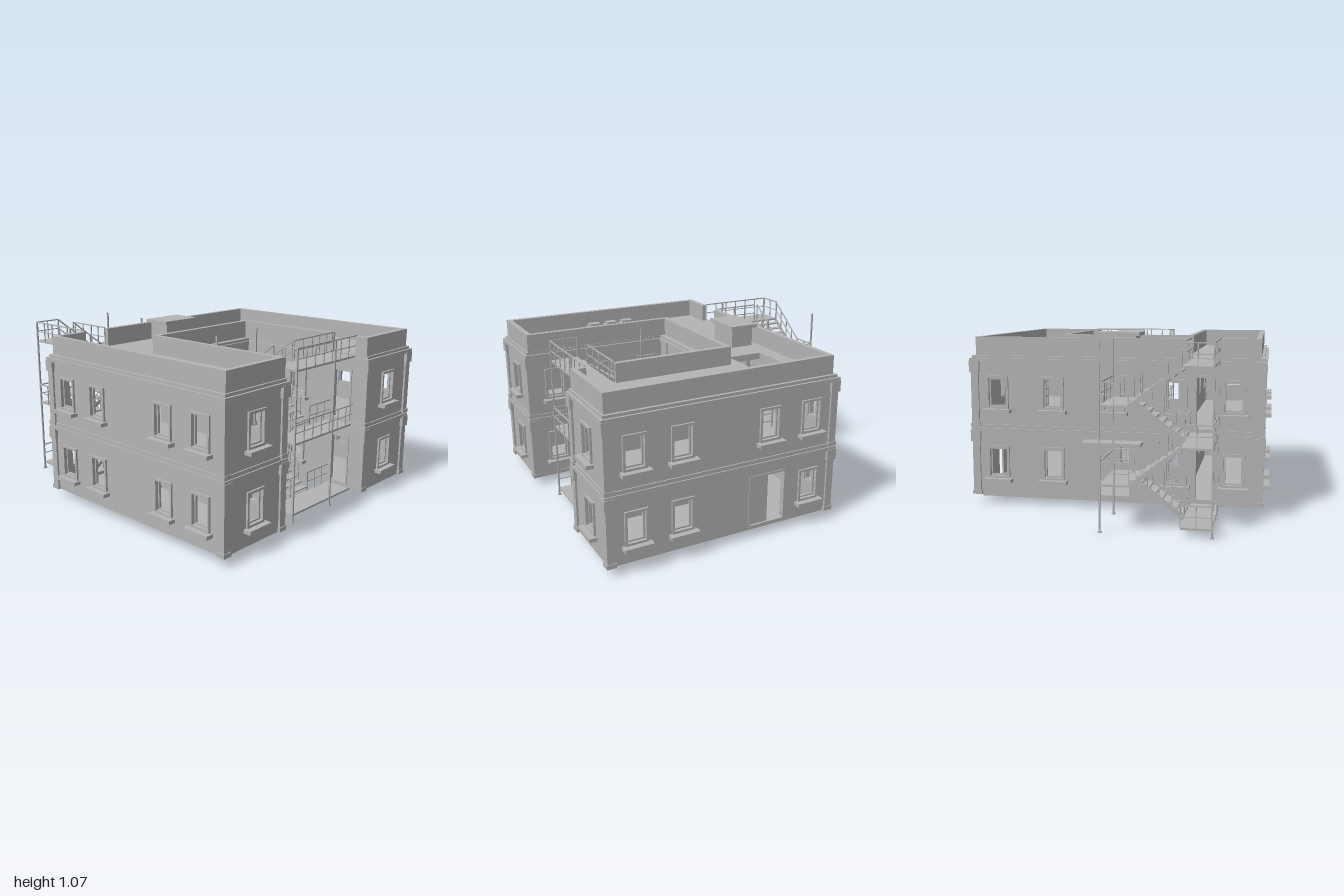
import * as THREE from 'three';

const grey = new THREE.MeshStandardMaterial({ color: 0xb4b4b4 });
grey.name = 'plainGrey';

const V = (x, y, z) => new THREE.Vector3(x, y, z);

function mesh(parent, name, geometry) {
  const m = new THREE.Mesh(geometry, grey);
  m.name = name;
  parent.add(m);
  return m;
}

// box given by its minimum and maximum on each axis
function box(parent, name, x0, x1, y0, y1, z0, z1) {
  const m = mesh(parent, name, new THREE.BoxGeometry(x1 - x0, y1 - y0, z1 - z0));
  m.position.set((x0 + x1) / 2, (y0 + y1) / 2, (z0 + z1) / 2);
  return m;
}

// straight bar between two points
function bar(parent, name, a, b, w = 0.007, h = w) {
  const d = b.clone().sub(a);
  const m = mesh(parent, name, new THREE.BoxGeometry(w, h, d.length()));
  m.position.copy(a).add(b).multiplyScalar(0.5);
  m.quaternion.setFromUnitVectors(V(0, 0, 1), d.normalize());
  return m;
}

function rectPath(cls, x, y, w, h) {
  const p = new cls();
  p.moveTo(x - w / 2, y - h / 2);
  p.lineTo(x + w / 2, y - h / 2);
  p.lineTo(x + w / 2, y + h / 2);
  p.lineTo(x - w / 2, y + h / 2);
  p.closePath();
  return p;
}

const extrude = (shape, depth) => new THREE.ExtrudeGeometry(shape, { depth, bevelEnabled: false });

// rectangular frame, z0 to z1 in depth
function frame(parent, name, x, y, w, h, t, z0, z1) {
  const s = rectPath(THREE.Shape, x, y, w, h);
  s.holes.push(rectPath(THREE.Path, x, y, w - 2 * t, h - 2 * t));
  mesh(parent, name, extrude(s, z1 - z0)).position.z = z0;
}

// U-shaped slab over the whole plan, grown outwards by o
function uSlab(parent, name, o, y0, y1, hatch) {
  const X = 0.88 + o, F = 0.945 + o, B = -0.505 - o, C = 0.4 - o;
  const pts = [[-X, B], [X, B], [X, F], [C, F], [C, o], [-C, o], [-C, F], [-X, F]];
  const s = new THREE.Shape(pts.map(([x, z]) => new THREE.Vector2(x, -z)));
  if (hatch) s.holes.push(rectPath(THREE.Path, 0.407, 0.248, 0.23, 0.225));
  const m = mesh(parent, name, extrude(s, y1 - y0));
  m.rotation.x = -Math.PI / 2;
  m.position.y = y0;
}

const storeys = [{ y0: 0.055, y1: 0.48, win: 0.263 }, { y0: 0.48, y1: 0.91, win: 0.697 }];

// wall facing local +z; openings are [position along the wall, kind, width]
function wall(parent, name, cx, cz, angle, len, storey, openings) {
  const g = new THREE.Group();
  g.name = name;
  g.position.set(cx, 0, cz);
  g.rotation.y = angle;
  parent.add(g);
  const { y0, y1, win } = storey, T = 0.03;
  const s = rectPath(THREE.Shape, 0, (y0 + y1) / 2, len, y1 - y0);
  const alongX = Math.abs(Math.cos(angle)) > 0.5;
  for (const [p, kind, w] of openings) {
    const u = alongX ? (p - cx) * Math.cos(angle) : -(p - cz) * Math.sin(angle);
    if (kind === 'door') {
      const b = y0 + 0.02, h = 0.315;
      s.holes.push(rectPath(THREE.Path, u, b + h / 2, w, h));
      frame(g, 'doorFrame', u, b + h / 2, w + 0.012, h + 0.012, 0.012, -T, 0.005);
    } else {
      s.holes.push(rectPath(THREE.Path, u, win, 0.11, 0.175));
      frame(g, 'windowSurround', u, win, 0.138, 0.203, 0.014, -0.005, 0.012);
      frame(g, 'windowSash', u, win, 0.112, 0.177, 0.01, -0.022, -0.008);
      box(g, 'windowSill', u - 0.087, u + 0.087, win - 0.123, win - 0.101, -0.01, 0.047);
    }
  }
  mesh(g, 'wallPanel', extrude(s, T)).position.z = -T;
}

// handrail with mid rail and balusters
function railing(parent, a, b, foot = 0) {
  const H = 0.122, up = (p, h) => V(p.x, p.y + h, p.z);
  bar(parent, 'handrail', up(a, H), up(b, H));
  bar(parent, 'midRail', up(a, H / 2), up(b, H / 2), 0.005);
  const n = Math.max(1, Math.round(a.distanceTo(b) / 0.09));
  for (let i = 0; i <= n; i++) {
    const p = a.clone().lerp(b, i / n);
    bar(parent, 'baluster', up(p, foot), up(p, H), 0.006);
  }
}

// stair tower: climbs towards local -z on the +x lane and back on the -x lane
function stairTower(name, bridge) {
  const g = new THREE.Group();
  g.name = name;
  const W = 0.185, L = -0.17, M = -0.45, E = -0.61, end = W + bridge;
  const levels = [0.052, 0.485, 0.917], mids = [0.27, 0.702];

  const flight = (x0, x1, zA, yA, zB, yB) => {
    const n = 7;
    for (let i = 1; i <= n; i++) {
      const z = zA + (zB - zA) * (i - 0.5) / n, y = yA + (yB - yA) * i / (n + 1);
      box(g, 'tread', x0, x1, y - 0.007, y, z - 0.022, z + 0.022);
    }
    for (const x of [x0, x1]) {
      const lo = V(x, yA, zA), hi = V(x, yB, zB);
      const [p, q] = zA < zB ? [lo, hi] : [hi, lo];
      bar(g, 'stringer', p.clone().setY(p.y - 0.008), q.clone().setY(q.y - 0.008), 0.006, 0.024);
      railing(g, p, q);
    }
  };

  levels.forEach((y, i) => {
    box(g, 'mainLanding', -W, W, y - 0.012, y, L, 0);
    box(g, 'bridge', W, end, y - 0.012, y, L, 0);
    railing(g, V(-W, y, 0), V(-W, y, L));
    railing(g, V(W, y, L), V(end, y, L));
    if (i > 0) railing(g, V(-W, y, 0), V(end, y, 0));
    if (i === 2) railing(g, V(0.01, y, L), V(W, y, L));
  });
  mids.forEach((y, i) => {
    box(g, 'midLanding', -W, W, y - 0.012, y, E, M);
    railing(g, V(-W, y, E), V(W, y, E));
    for (const x of [-W, W]) railing(g, V(x, y, M), V(x, y, E));
    flight(0.012, W - 0.003, L, levels[i], M, y);
    flight(-W + 0.003, -0.012, M, y, L, levels[i + 1]);
  });
  for (const x of [-W, W]) for (const z of [0, E]) {
    bar(g, 'post', V(x, 0, z), V(x, 1.04, z), 0.01);
    box(g, 'postFoot', x - 0.01, x + 0.01, 0, 0.007, z - 0.01, z + 0.01);
  }
  return g;
}

export function createModel() {
  const root = new THREE.Group();
  root.name = 'courtyardBuilding';
  const building = new THREE.Group();
  building.name = 'building';
  root.add(building);
  const Q = Math.PI / 2;
  const win = (...ps) => ps.map(p => [p, 'window']);

  // walls of both storeys
  storeys.forEach((s, i) => {
    const ground = i === 0;
    for (const k of [-1, 1]) wall(building, 'wingFrontWall', k * 0.64, 0.945, 0, 0.48, s, win(k * 0.64));
    wall(building, 'courtBackWall', 0, 0, 0, 0.8, s, win(-0.285, 0, 0.285));
    wall(building, 'backWall', 0, -0.505, Math.PI, 1.76, s,
      [...win(-0.715, -0.375, 0.375, 0.725), [-0.545, 'door', 0.11], ground ? [0, 'door', 0.2] : [0, 'window']]);
    wall(building, 'rightWall', 0.88, 0.22, Q, 1.45, s,
      [...win(0.78, 0.5, -0.338), ground ? [-0.052, 'door', 0.24] : [-0.055, 'window']]);
    wall(building, 'leftWall', -0.88, 0.22, -Q, 1.45, s, win(0.78, 0.5, -0.055, -0.338));
    wall(building, 'courtLeftWall', -0.4, 0.4725, Q, 0.945, s, win(0.115, 0.43, 0.77));
    wall(building, 'courtRightWall', 0.4, 0.4725, -Q, 0.945, s, [...win(0.115, 0.43), [0.77, 'door', 0.13]]);

    // corner pilasters with stepped capitals and a base
    const corners = [[0.88, 0.945, 1, 1], [0.88, -0.505, 1, -1], [0.4, 0.945, -1, 1]];
    for (const k of [-1, 1]) for (const [x, z, sx, sz] of corners) {
      const block = (name, o, inner, y0, y1) => {
        const xs = [k * (x + sx * o), k * (x - sx * inner)].sort((a, b) => a - b);
        const zs = [z + sz * o, z - sz * inner].sort((a, b) => a - b);
        box(building, name, xs[0], xs[1], y0, y1, zs[0], zs[1]);
      };
      block('pilaster', 0.012, 0.035, s.y0, s.y1 - 0.02);
      block('pilasterCapital', 0.02, 0.042, s.y1 - 0.09, s.y1 - 0.02);
      block('pilasterBase', 0.017, 0.04, s.y0, s.y0 + 0.025);
    }
  });

  // floors, string course, cornice and roof
  uSlab(building, 'groundSlab', -0.03, 0.035, 0.06);
  uSlab(building, 'stringCourse', 0.016, 0.452, 0.475);
  uSlab(building, 'upperFloor', 0.008, 0.475, 0.497);
  uSlab(building, 'cornice', 0.018, 0.882, 0.905, true);
  uSlab(building, 'roof', 0.004, 0.905, 0.922, true);

  // parapet with gaps where the stairs arrive
  const par = (x0, x1, z0, z1) => box(building, 'parapet', x0, x1, 0.92, 1.035, z0, z1);
  for (const k of [-1, 1]) {
    par(k * 0.849 - 0.016, k * 0.849 + 0.016, -0.49, 0.937);
    par(k * 0.632 - 0.233, k * 0.632 + 0.233, 0.905, 0.937);
  }
  par(-0.865, -0.635, -0.49, -0.458);
  par(-0.46, 0.865, -0.49, -0.458);
  par(-0.431, 0.431, -0.063, -0.031);
  par(-0.431, -0.399, -0.063, 0.937);
  par(0.399, 0.431, -0.063, 0.683);
  par(0.399, 0.431, 0.855, 0.937);

  // roof box, skylights and hatch ladder
  box(building, 'roofBox', -0.12, 0.11, 0.92, 1.045, -0.415, -0.265);
  box(building, 'roofBoxLid', -0.145, 0.135, 1.045, 1.066, -0.435, -0.245);
  for (const z of [0.095, 0.215, 0.34]) {
    box(building, 'skylightCurb', -0.805, -0.737, 0.92, 0.95, z - 0.046, z + 0.046);
    box(building, 'skylightTop', -0.798, -0.744, 0.95, 0.965, z - 0.038, z + 0.038);
  }
  for (const z of [-0.325, -0.175]) bar(building, 'ladderRail', V(0.505, 0.497, z), V(0.505, 0.92, z), 0.01);
  for (let y = 0.54; y < 0.92; y += 0.05) bar(building, 'ladderRung', V(0.505, y, -0.325), V(0.505, y, -0.175), 0.007);

  // entrance canopy at the back, half-open door at the right side
  box(building, 'backCanopy', -0.18, 0.175, 0.405, 0.422, -0.612, -0.5);
  box(building, 'sideDoorLeaf', 0.86, 0.872, 0.075, 0.39, -0.06, 0.068);

  // stair towers
  const front = stairTower('courtStair', 0.225);
  front.position.set(0, 0, 0.855);
  const back = stairTower('backStair', 0.14);
  back.position.set(-0.632, 0, -0.812);
  back.rotation.y = -Q;
  root.add(front, back);
  return root;
}
